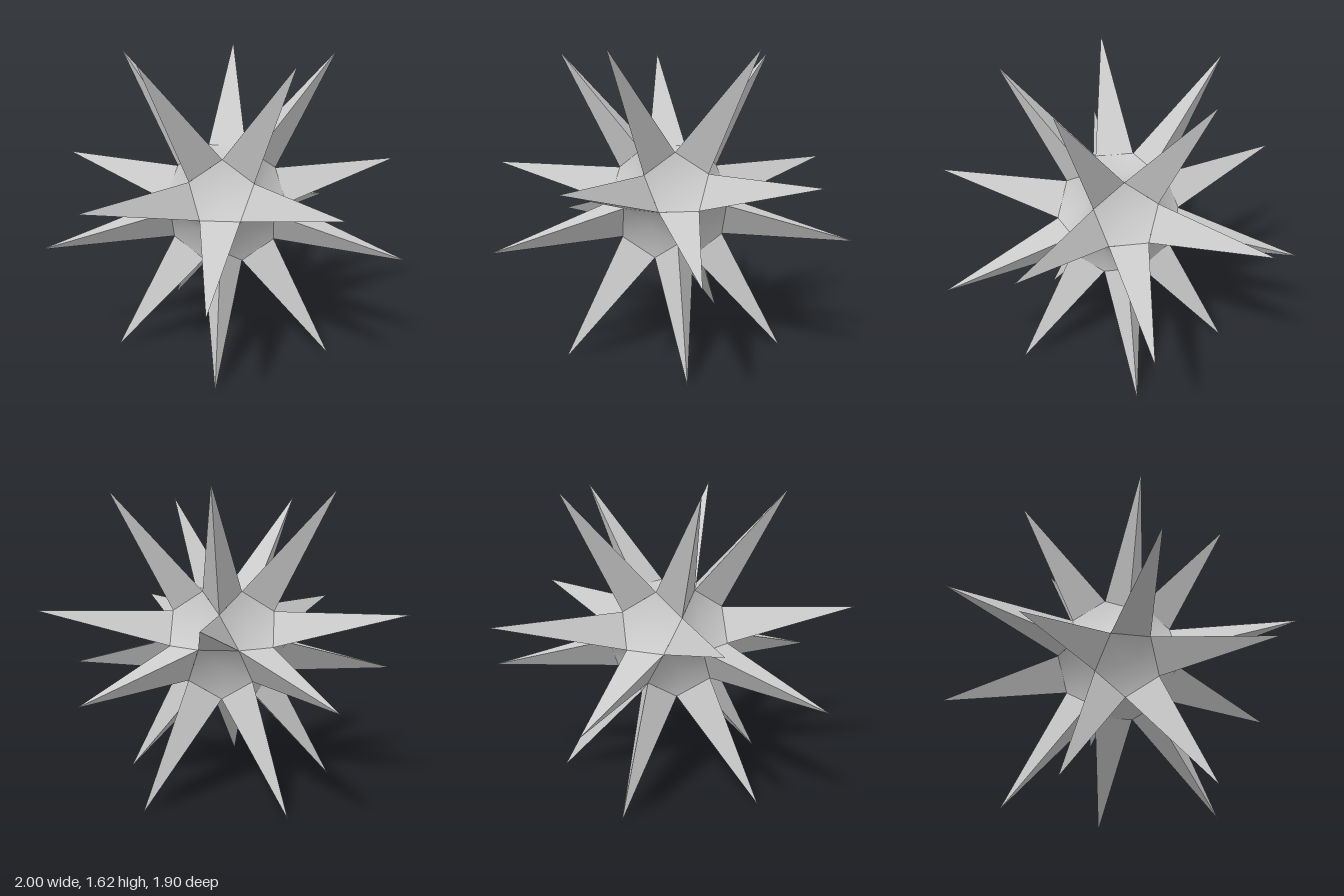
import * as THREE from 'three';
import { mergeVertices } from 'three/addons/utils/BufferGeometryUtils.js';

const TIP = 1.018;    // centre to spike tip
const CORE = 0.337;   // centre to core corner
const DENT = 0.05;    // depth of the dished core faces
const CENTRE_Y = 0.809;

// Five directions around the vertical axis, plus their opposites
function ring(y, startAngle) {
  const dirs = [];
  const radius = Math.sqrt(1 - y * y);
  for (let i = 0; i < 5; i++) {
    const a = startAngle + (i * Math.PI * 2) / 5;
    const d = new THREE.Vector3(radius * Math.cos(a), y, radius * Math.sin(a));
    dirs.push(d, d.clone().negate());
  }
  return dirs;
}

// Unit vector square to dir, leaning toward its nearest neighbour in the list
function towardNeighbour(dir, dirs) {
  const nearest = dirs
    .filter((d) => d !== dir)
    .reduce((best, d) => (d.dot(dir) > best.dot(dir) ? d : best));
  return nearest.clone().addScaledVector(dir, -nearest.dot(dir)).normalize();
}

// Pentagon with its middle pushed in, smooth across its five triangles
function dishedPentagon() {
  const disc = new THREE.CircleGeometry(CORE * 0.5257, 5);
  disc.translate(0, 0, CORE * 0.8507);
  disc.attributes.position.setZ(0, CORE * 0.8507 - DENT);
  disc.deleteAttribute('uv');
  disc.deleteAttribute('normal');
  const dish = mergeVertices(disc);
  dish.computeVertexNormals();
  return dish;
}

export function createModel() {
  const model = new THREE.Group();
  model.name = 'spikedStar';
  const star = new THREE.Group();
  star.name = 'star';
  star.position.y = CENTRE_Y;
  model.add(star);

  const spikeMaterial = new THREE.MeshStandardMaterial({ color: 0xcccccc, flatShading: true });
  const coreMaterial = new THREE.MeshStandardMaterial({ color: 0xcccccc });

  // Three-sided spikes standing on the triangular faces of the core
  const baseDistance = CORE * 0.9342;
  const height = TIP - baseDistance;
  const spikeGeometry = new THREE.ConeGeometry(CORE * 0.3568, height, 3, 1, true);
  spikeGeometry.translate(0, baseDistance + height / 2, 0);
  const spikeDirs = [...ring(0.7947, Math.PI), ...ring(0.1876, Math.PI)];
  for (const dir of spikeDirs) {
    const spike = new THREE.Mesh(spikeGeometry, spikeMaterial);
    spike.name = 'spike';
    const z = towardNeighbour(dir, spikeDirs);
    const x = dir.clone().cross(z);
    spike.quaternion.setFromRotationMatrix(new THREE.Matrix4().makeBasis(x, dir, z));
    star.add(spike);
  }

  // Dished pentagons of the core between the spikes
  const faceGeometry = dishedPentagon();
  const up = new THREE.Vector3(0, 1, 0);
  const faceDirs = [up, up.clone().negate(), ...ring(1 / Math.sqrt(5), 0)];
  for (const dir of faceDirs) {
    const face = new THREE.Mesh(faceGeometry, coreMaterial);
    face.name = 'coreFace';
    const x = towardNeighbour(dir, faceDirs);
    const y = dir.clone().cross(x);
    face.quaternion.setFromRotationMatrix(new THREE.Matrix4().makeBasis(x, y, dir));
    star.add(face);
  }
  return model;
}
